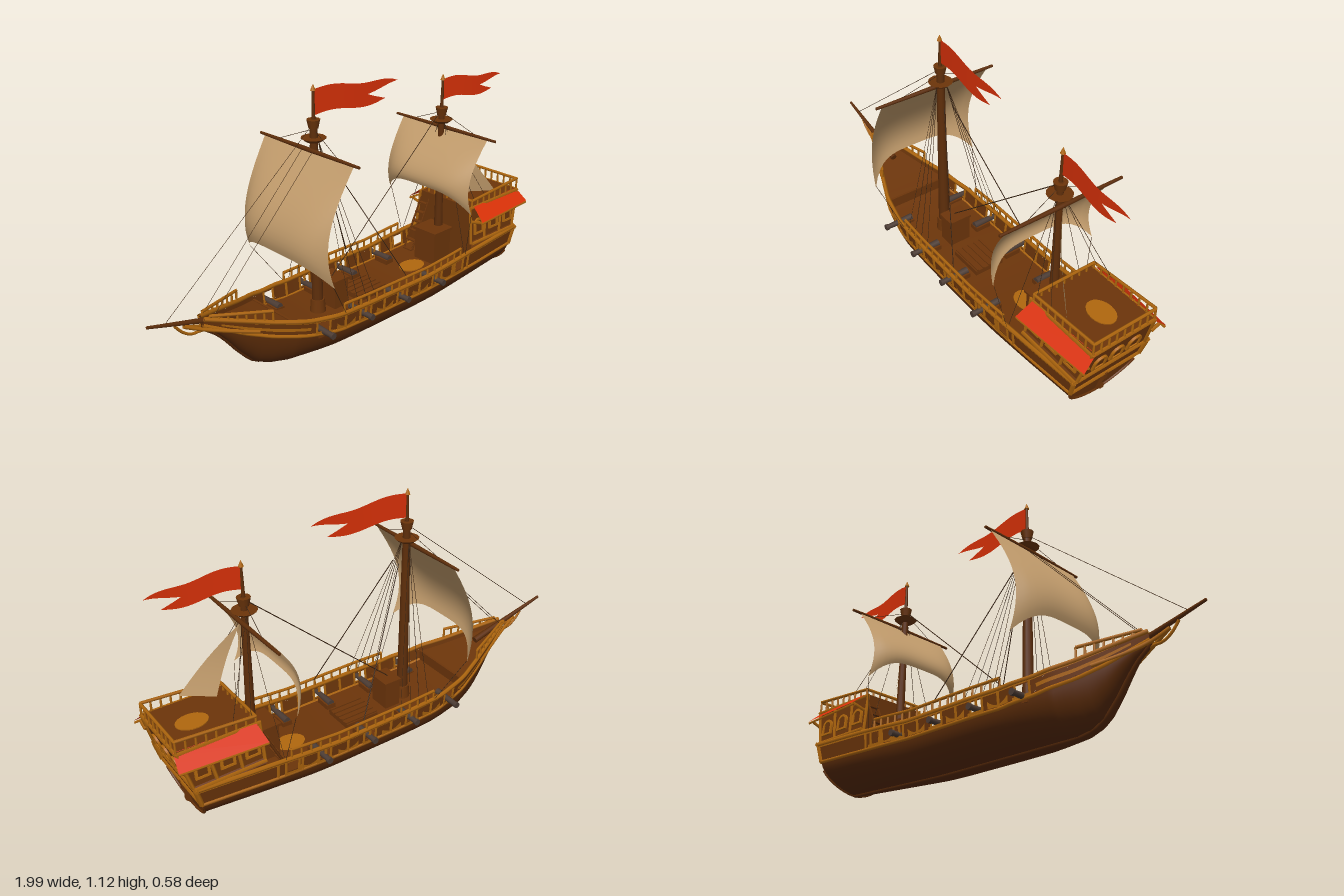
import * as THREE from 'three';

const V = (x, y, z) => new THREE.Vector3(x, y, z);
const mat = (name, color) => {
  const m = new THREE.MeshStandardMaterial({ color, side: THREE.DoubleSide });
  m.name = name;
  return m;
};

// Linear lookup in a table of [x, value]
const at = (table, x) => {
  let i = 1;
  while (i < table.length - 1 && x > table[i][0]) i++;
  const [a, b] = [table[i - 1], table[i]];
  return THREE.MathUtils.lerp(a[1], b[1], THREE.MathUtils.clamp((x - a[0]) / (b[0] - a[0]), 0, 1));
};
// Hull lines along the ship: keel height, deck edge, bulwark top, half width, fullness
const keelY = x => at([[-0.76, 0.28], [-0.7, 0.235], [-0.65, 0.18], [-0.6, 0.115], [-0.54, 0.05], [-0.49, 0.022], [-0.42, 0.01], [0.3, 0.01], [0.87, 0.03]], x);
const deckY = x => at([[-0.76, 0.295], [-0.6, 0.22], [-0.5, 0.185], [-0.35, 0.15], [-0.2, 0.13], [0.3, 0.127], [0.6, 0.14], [0.87, 0.157]], x);
const topY = x => at([[-0.76, 0.325], [-0.6, 0.28], [-0.5, 0.252], [-0.35, 0.22], [-0.2, 0.205], [0.3, 0.2], [0.6, 0.222], [0.87, 0.24]], x);
const halfW = x => at([[-0.76, 0.008], [-0.65, 0.053], [-0.5, 0.113], [-0.4, 0.152], [-0.25, 0.182], [-0.05, 0.19], [0.45, 0.19], [0.65, 0.185], [0.87, 0.175]], x);
const power = x => at([[-0.5, 0.85], [-0.2, 0.7], [0.4, 0.7], [0.87, 1.25]], x);
// Raking the stern: points move aft with height
const P = (x, y, z) => V(x + THREE.MathUtils.clamp((x - 0.6) / 0.27, 0, 1) * (y - 0.03) * 0.27, y, z);
const side = (x, v, s, out = 0) => P(x, THREE.MathUtils.lerp(deckY(x), topY(x), v), s * (halfW(x) + 0.008 * v + out));
const hullPoint = (x, a) => {
  const u = Math.abs(a) * Math.PI / 2;
  return P(x, keelY(x) + (deckY(x) - keelY(x)) * (1 - Math.cos(u)), Math.sign(a) * halfW(x) * Math.sin(u) ** power(x));
};
const range = (a, b, n) => Array.from({ length: n + 1 }, (_, i) => a + (b - a) * i / n);

export function createModel() {
  const ship = new THREE.Group();
  ship.name = 'sailingShip';
  const hull = mat('hullWood', 0x6c350a), bottom = mat('bottomWood', 0x5a2b08), deck = mat('deckWood', 0x6c350a), trim = mat('trimWood', 0xb0670e);
  const spar = mat('sparWood', 0x5e2e0a), cloth = mat('sailCloth', 0xc29c6c), red = mat('redCloth', 0xda3108);
  const iron = mat('iron', 0x4c3c34), rope = mat('rope', 0x3a2412), pane = mat('windowPane', 0x683309);

  const add = (name, geo, m, parent = ship) => {
    const mesh = new THREE.Mesh(geo, m);
    mesh.name = name;
    parent.add(mesh);
    return mesh;
  };
  // Surface through rows of points
  const loft = (name, rows, m, flat = false) => {
    const n = rows[0].length, idx = [];
    for (let i = 0; i < rows.length - 1; i++) for (let j = 0; j < n - 1; j++) {
      const a = i * n + j, b = a + n;
      idx.push(a, b, a + 1, b, b + 1, a + 1);
    }
    let geo = new THREE.BufferGeometry().setFromPoints(rows.flat());
    geo.setIndex(idx);
    if (flat) geo = geo.toNonIndexed();
    geo.computeVertexNormals();
    return add(name, geo, m);
  };
  const tube = (name, pts, r, m, sides = 5) =>
    add(name, new THREE.TubeGeometry(new THREE.CatmullRomCurve3(pts), pts.length * 2, r, sides), m);
  // Tapered straight rod
  const rod = (name, a, b, ra, rb, m, sides = 8) => {
    const d = b.clone().sub(a);
    const mesh = add(name, new THREE.CylinderGeometry(rb, ra, d.length(), sides), m);
    mesh.position.copy(a).add(b).multiplyScalar(0.5);
    mesh.quaternion.setFromUnitVectors(V(0, 1, 0), d.normalize());
  };
  const box = (name, w, h, d, x, y, z, m) => add(name, new THREE.BoxGeometry(w, h, d), m).position.set(x, y, z);
  const railing = (name, base, height, n) => {
    const t = range(0, 1, n), up = k => base(k).add(V(0, height(k), 0));
    tube(name + 'Rail', t.map(up), 0.007, trim);
    t.forEach(k => rod(name + 'Post', base(k), up(k), 0.0055, 0.0045, trim, 5));
  };

  // Hull shell, transom, decks and keel
  const xs = [...range(-0.76, -0.4, 18), ...range(-0.35, 0.87, 18)];
  const arc = range(-1, 1, 24);
  loft('hullShell', xs.map(x => arc.map(a => hullPoint(x, a))), bottom);
  loft('lowerTransom', range(0, 1, 8).map(a => [hullPoint(0.87, -a), hullPoint(0.87, a)]), hull);
  loft('upperTransom', [0, 1].map(v => [side(0.87, v, -1), side(0.87, v, 1)]), hull);
  tube('transomArch', range(-0.8, 0.8, 14).map(a => hullPoint(0.872, a)), 0.006, hull);
  loft('mainDeck', xs.map(x => [P(x, deckY(x) + 0.002, -halfW(x)), P(x, deckY(x) + 0.002, halfW(x))]), deck);
  loft('foreDeck', range(-0.76, -0.4, 8).map(x => [-1, 1].map(s => V(x, topY(x) - 0.025, s * halfW(x)))), deck);
  box('foreDeckStep', 0.01, 0.06, 0.3, -0.4, 0.18, 0, hull);
  tube('keel', [...range(-0.76, -0.4, 14), ...range(-0.3, 0.87, 8)].map(x => P(x, keelY(x) + 0.001, 0)), 0.01, bottom, 6);

  // Rudder and sternpost
  const rudder = new THREE.Shape([[0.84, 0.025], [0.87, 0.03], [0.9, 0.06], [0.898, 0.09], [0.91, 0.12], [0.915, 0.16], [0.88, 0.16]].map(p => new THREE.Vector2(...p)));
  add('rudder', new THREE.ExtrudeGeometry(rudder, { depth: 0.016, bevelEnabled: false }), hull).position.z = -0.008;

  const ports = [-0.3, -0.08, 0.14, 0.365, 0.515];
  for (const s of [1, -1]) {
    // Bulwarks with open gun ports
    const strip = (name, a, b, v0, v1, n, m = hull, out = 0) => loft(name, range(a, b, n).map(x => [side(x, v0, s, out), side(x, v1, s, out)]), m);
    strip('bulwarkSill', -0.76, 0.87, 0, 0.18, 44);
    strip('bulwarkTop', -0.76, 0.87, 0.78, 1, 44);
    strip('sheerStripe', -0.74, 0.87, 0.82, 1, 44, trim, 0.004);
    strip('bowStripe', -0.7, -0.36, 0.35, 0.55, 14, trim, 0.004);
    let from = -0.76;
    [...ports, 0.9].forEach(p => {
      const to = Math.min(p - 0.026, 0.87);
      strip('bulwarkPanel', from, to, 0.18, 0.78, 10);
      if (p < 0.9) for (const e of [-0.03, 0.03]) rod('portFrame', side(p + e, 0.05, s), side(p + e, 0.9, s), 0.006, 0.006, trim, 4);
      if (p < 0.9) strip('portSill', p - 0.04, p + 0.04, 0.05, 0.2, 2, trim, 0.006);
      from = p + 0.026;
    });
    // Scalloped ornaments between the ports
    for (const c of [-0.19, 0.03, 0.252, 0.44]) loft('scallop', range(-1, 1, 10).map(t => [
      side(c + 0.05 * t, 0.1, s, 0.005), side(c + 0.05 * t, 0.2 + 0.3 * t * t, s, 0.005)]), trim);
    // Wales along the side
    const along = range(-0.76, 0.87, 32);
    tube('lowerWale', along.map(x => side(x, 0, s)), 0.008, trim);
    tube('upperWale', along.map(x => side(x, 1, s)), 0.01, trim);
    range(-0.19, 0.58, 7).forEach(x => rod('sideRib', side(x, 0, s), side(x, 1, s), 0.007, 0.007, trim, 4));

    // Cannons on carriages
    ports.slice(0, 4).forEach(x => {
      const y = 0.155;
      rod('cannonBarrel', V(x, y, s * 0.1), V(x, y, s * 0.232), 0.016, 0.011, iron, 10);
      rod('cannonMuzzle', V(x, y, s * 0.222), V(x, y, s * 0.236), 0.014, 0.014, iron, 10);
      box('gunCarriage', 0.045, 0.025, 0.075, x, 0.14, s * 0.135, hull);
    });

    // Railings
    railing('waist', t => side(-0.2 + 0.72 * t, 1, s), () => 0.043, 16);
    railing('bow', t => side(-0.74 + 0.23 * t, 1, s), t => 0.015 + 0.035 * t, 7);
    railing('poop', t => P(0.63 + 0.24 * t, 0.415, s * 0.15), t => 0.028 + 0.024 * t, 8);

    // Curved beak rails running out to the bowsprit
    tube('beakRail', [V(-0.56, 0.225, s * 0.095), V(-0.68, 0.255, s * 0.045), V(-0.77, 0.285, s * 0.014), V(-0.84, 0.318, 0)], 0.008, trim);

    // Castle side trims, awning and windows
    for (const [y, z] of [[0.245, 0.182], [0.41, 0.153]]) rod('castleLedge', P(0.62, y, s * z), P(0.875, y, s * z), 0.009, 0.009, trim, 4);
    for (const x of [0.62, 0.7, 0.79, 0.872]) rod('castlePost', P(x, 0.24, s * 0.17), P(x, 0.415, s * 0.152), 0.008, 0.008, trim, 4);
    loft('awning', [[V(0.645, 0.416, s * 0.16), V(0.63, 0.362, s * 0.226)], [V(0.98, 0.416, s * 0.14), V(0.992, 0.362, s * 0.202)]], red);
    rod('awningEave', V(0.63, 0.355, s * 0.222), V(0.99, 0.355, s * 0.198), 0.006, 0.006, trim, 4);
    for (const [x, z] of [[0.64, 0.215], [0.965, 0.195]]) rod('awningBracket', V(x, 0.34, s * 0.155), V(x, 0.355, s * z), 0.008, 0.008, trim, 4);
    [0.66, 0.745, 0.83].forEach(x => arched(P(x, 0.28, s * 0.168), s > 0 ? 0 : Math.PI, -0.1));
    rod('sternCornerPost', side(0.872, 0, s), side(0.872, 1, s), 0.011, 0.011, trim, 4);
  }

  // Arched window: pane with a raised frame
  function arched(pos, yaw, tilt) {
    const outline = (w, h, Kind, y = 0) => {
      const p = new Kind();
      p.moveTo(-w, y); p.lineTo(w, y); p.lineTo(w, h - w);
      p.absarc(0, h - w, w, 0, Math.PI, false);
      p.lineTo(-w, y);
      return p;
    };
    const g = new THREE.Group();
    g.name = 'archedWindow';
    const frame = outline(0.032, 0.074, THREE.Shape);
    frame.holes.push(outline(0.021, 0.063, THREE.Path, 0.009));
    add('windowFrame', new THREE.ExtrudeGeometry(frame, { depth: 0.009, bevelEnabled: false, curveSegments: 8 }), trim, g);
    add('windowPane', new THREE.ShapeGeometry(outline(0.027, 0.067, THREE.Shape), 8), pane, g).position.z = 0.004;
    g.position.copy(pos);
    g.rotation.set(tilt, yaw, 0, 'YXZ');
    ship.add(g);
  }

  // Stern castle
  const section = [[-0.185, 0.235], [-0.168, 0.25], [-0.15, 0.415], [0.15, 0.415], [0.168, 0.25], [0.185, 0.235]];
  loft('castleWalls', [0.62, 0.87].map(x => section.map(([z, y]) => P(x, y, z))), hull, true);
  for (const x of [0.62, 0.87]) loft('castleEndWall', [[0.15, 0.415], [0.168, 0.25], [0.185, x < 0.7 ? 0.14 : 0.235]].map(([z, y]) => [P(x, y, -z), P(x, y, z)]), hull, true);
  loft('poopDeck', [0.63, 0.865].map(x => [P(x, 0.418, -0.143), P(x, 0.418, 0.143)]), deck);
  for (const [y, z] of [[0.157, 0.178], [0.24, 0.195], [0.41, 0.155]]) rod('sternLedge', P(0.872, y, -z), P(0.872, y, z), 0.009, 0.009, trim, 4);
  [-0.085, 0, 0.085].forEach(z => arched(P(0.871, 0.28, z), Math.PI / 2, 0.264));
  railing('stern', t => P(0.87, 0.415, -0.15 + 0.3 * t), () => 0.05, 8);
  railing('poopFront', t => P(0.63, 0.415, -0.15 + 0.3 * t), () => 0.028, 8);

  // Deck fittings
  box('mastStep', 0.11, 0.15, 0.12, 0.55, 0.21, 0, hull);
  box('mastStepCap', 0.125, 0.012, 0.135, 0.55, 0.29, 0, hull);
  box('capstanBox', 0.075, 0.12, 0.1, -0.085, 0.195, 0, hull);
  box('capstanLid', 0.085, 0.012, 0.11, -0.085, 0.26, 0, hull);
  box('hatch', 0.16, 0.025, 0.14, 0.09, 0.14, 0, deck);
  for (const z of range(-0.06, 0.06, 4)) box('hatchBar', 0.16, 0.006, 0.008, 0.09, 0.155, z, hull);
  for (const [x, y] of [[0.42, 0.135], [0.84, 0.42]]) {
    const d = add('deckInlay', new THREE.CylinderGeometry(0.05, 0.05, 0.005, 20), trim);
    d.position.set(x, y, -0.01);
    d.scale.x = 1.35;
  }
  for (const z of [-0.1, -0.15]) rod('stairRail', V(0.52, 0.15, z), V(0.64, 0.4, z), 0.006, 0.006, hull, 4);
  range(0, 1, 6).forEach(t => box('stairTread', 0.02, 0.006, 0.05, 0.52 + 0.12 * t, 0.15 + 0.25 * t, -0.125, hull));

  // Bowsprit and beak scroll
  rod('bowsprit', V(-0.6, 0.27, 0), V(-0.995, 0.376, 0), 0.015, 0.006, spar);
  tube('beakScroll', [V(-0.7, 0.255, 0), V(-0.765, 0.272, 0), V(-0.81, 0.275, 0), V(-0.85, 0.3, 0), V(-0.88, 0.335, 0)], 0.006, trim);

  // Billowing square sail with its yard; the side edges lag behind the belly
  const squareSail = (name, x, yTop, yBot, w, depth) => {
    loft(name, range(0, 1, 14).map(v => range(-1, 1, 20).map(u => V(
      x - depth * Math.sin(v * (1.9 + 0.35 * u ** 4)) * (1 - 0.3 * u ** 4),
      yTop + (yBot - yTop) * v + 0.09 * v * v * (1 - u ** 4),
      u * w * (1 - 0.03 * Math.sin(v * Math.PI))))), cloth);
    for (const s of [1, -1]) rod(name + 'Yard', V(x, yTop, 0), V(x, yTop, s * 0.29), 0.01, 0.006, spar);
  };
  squareSail('mainSail', -0.217, 0.864, 0.385, 0.262, 0.185);
  squareSail('mizzenSail', 0.6, 0.773, 0.44, 0.248, 0.152);
  loft('spankerSail', range(0, 1, 8).map(t => [0, 0.5, 1].map(u => V(0.6 + (0.1 + 0.12 * u) * t, 0.765 - 0.32 * t, (0.05 + 0.09 * u) * t + 0.015 * Math.sin(t * Math.PI)))), cloth);

  // Forked pennant: upper and lower tails part beyond the notch
  const pennant = (x, y, len, h) => {
    for (const [k, end, tip] of [[1, 1, 0.15], [-1, 0.84, 0.42]])
      loft('pennant', [...range(0, 0.62, 12), ...range(0.62, end, 8).slice(1)].map(f => {
        const split = Math.max(0, (f - 0.62) / (end - 0.62));
        const outer = THREE.MathUtils.lerp(0.5 - 0.05 * f, tip, split * split);
        return [outer, tip * split].map(o => V(x + len * f, y - 0.012 * f + 0.009 * Math.sin(f * 8) + k * o * h, 0.027 * Math.sin(f * 1.6)));
      }), red);
  };

  // Masts with fighting tops and pole heads
  const mast = (name, x, y0, r, platform, head, tip) => {
    rod(name, V(x + 0.01, y0, 0), V(x, head, 0), r, r * 0.62, spar, 12);
    rod(name + 'Collar', V(x + 0.01, y0, 0), V(x + 0.01, y0 + 0.06, 0), r * 1.4, r * 1.2, hull, 12);
    rod(name + 'Top', V(x, platform - 0.008, 0), V(x, platform + 0.006, 0), 0.035, 0.052, hull, 12);
    rod(name + 'Cap', V(x, head - 0.035, 0), V(x, head, 0), 0.02, 0.028, hull, 12);
    rod(name + 'Pole', V(x, head, 0), V(x, tip - 0.02, 0), 0.008, 0.005, spar);
    rod(name + 'Finial', V(x, tip - 0.025, 0), V(x, tip, 0), 0.011, 0.001, trim);
  };
  mast('mainMast', -0.185, 0.13, 0.025, 0.9, 0.98, 1.12);
  mast('mizzenMast', 0.578, 0.2, 0.021, 0.81, 0.87, 1.02);
  pennant(-0.182, 1.047, 0.44, 0.105);
  pennant(0.582, 0.95, 0.37, 0.095);

  // Rigging
  const line = (a, b, r = 0.0011) => rod('rigging', V(...a), V(...b), r, r, rope, 4);
  line([-0.19, 0.96, 0], [-0.92, 0.36, 0]);
  line([0.578, 0.86, 0], [-0.1, 0.26, 0], 0.002);
  for (const s of [1, -1]) {
    line([-0.21, 0.87, s * 0.03], [-0.72, 0.335, s * 0.03]);
    line([-0.13, 0.81, s * 0.02], [0.17, 0.24, s * 0.19], 0.002);
    line([-0.185, 0.94, 0], [-0.217, 0.87, s * 0.17]);
    line([0.578, 0.85, 0], [0.6, 0.78, s * 0.17]);
    line([-0.32, 0.39, s * 0.258], [-0.2, 0.21, s * 0.2]);
    line([0.52, 0.44, s * 0.245], [0.55, 0.22, s * 0.2]);
    for (const x of [-0.17, -0.12, -0.07, -0.02]) line([-0.18, 0.9, s * 0.02], [x, 0.21, s * 0.195]);
    for (const x of [0.55, 0.66, 0.74]) line([0.58, 0.8, s * 0.015], [x, x < 0.6 ? 0.23 : 0.44, s * (x < 0.6 ? 0.19 : 0.15)]);
  }
  return ship;
}
